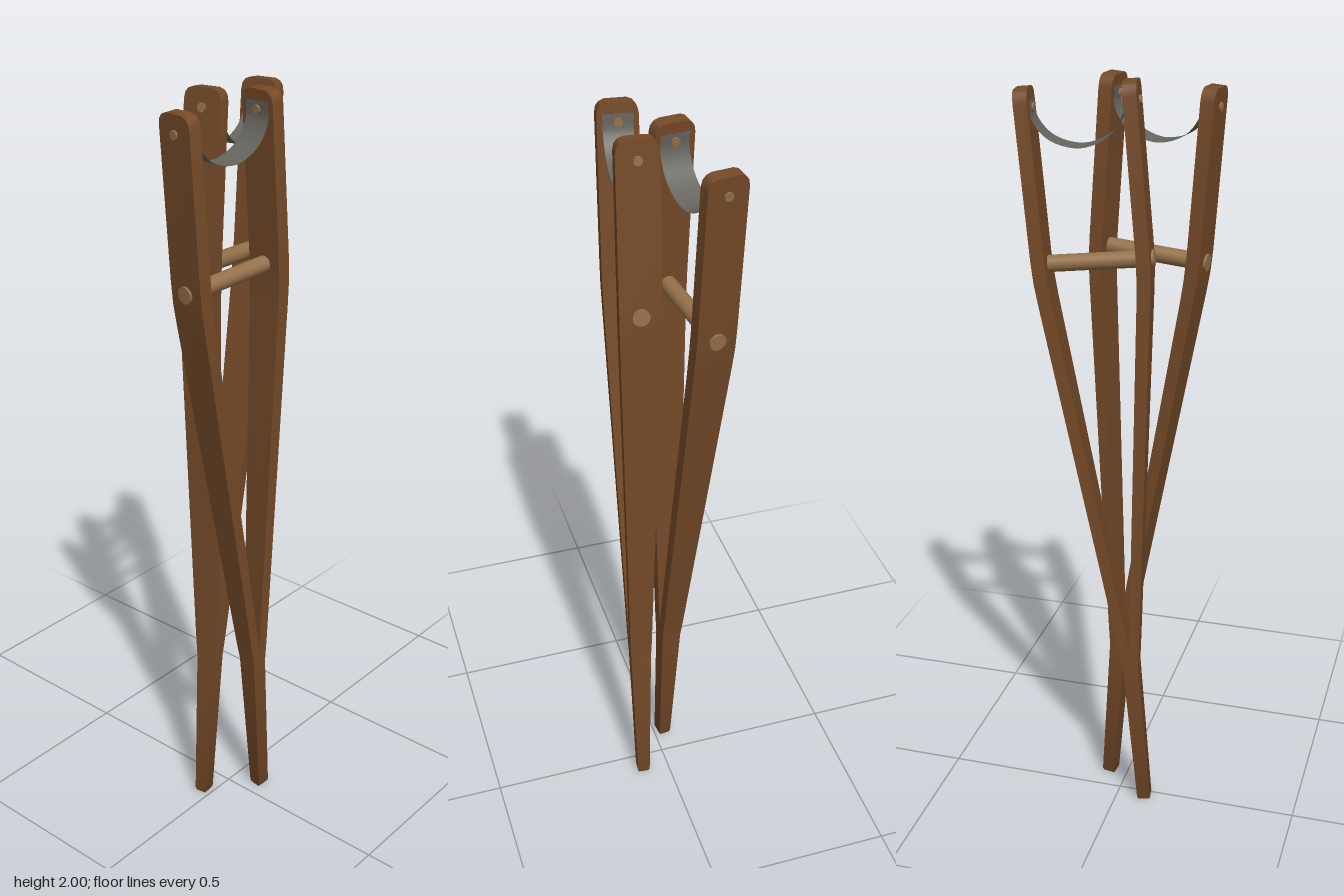
import * as THREE from 'three';
import { toCreasedNormals } from 'three/addons/utils/BufferGeometryUtils.js';

const wood = new THREE.MeshStandardMaterial({ color: 0x754a28 });
wood.name = 'brown wood';
const dowelWood = new THREE.MeshStandardMaterial({ color: 0x94704a });
dowelWood.name = 'pale dowel wood';
const strapCloth = new THREE.MeshStandardMaterial({ color: 0x66655f, side: THREE.DoubleSide });
strapCloth.name = 'grey strap';

function addMesh(parent, name, geometry, material) {
  const mesh = new THREE.Mesh(geometry, material);
  mesh.name = name;
  parent.add(mesh);
  return mesh;
}

// Rail cross-sections from foot to rounded top: height, inner x, outer x, half depth
const railRows = [
  [0, 0, 0.016, 0.014],
  [0.008, 0, 0.0185, 0.0175],
  [0.44, 0, 0.021, 0.028],
  [0.5, 0.001, 0.028, 0.03],
  [1.47, 0.104, 0.137, 0.05],
  [1.53, 0.109, 0.143, 0.051],
  [1.59, 0.111, 0.145, 0.051],
  [1.96, 0.111, 0.145, 0.05],
  [1.976, 0.111, 0.145, 0.047],
  [1.986, 0.111, 0.145, 0.039],
  [1.991, 0.111, 0.145, 0.026],
];

// Box whose rows of corners follow the cross-sections
function railGeometry(side) {
  const n = railRows.length - 1;
  const g = new THREE.BoxGeometry(1, 1, 1, 1, n, 1);
  const p = g.attributes.position;
  for (let i = 0; i < p.count; i++) {
    const [y, inner, outer, depth] = railRows[Math.round((p.getY(i) + 0.5) * n)];
    const isOuter = p.getX(i) * side > 0;
    p.setXYZ(i, side * (isOuter ? outer : inner), y, 2 * p.getZ(i) * depth);
  }
  return toCreasedNormals(g, 0.5);
}

// Sagging band with a short upright flap at each end
function strapGeometry() {
  const curve = new THREE.CatmullRomCurve3([
    [-0.109, 1.965], [-0.107, 1.92], [-0.072, 1.872], [0, 1.848],
    [0.072, 1.872], [0.107, 1.92], [0.109, 1.965],
  ].map(([x, y]) => new THREE.Vector3(x, y, 0)));
  const g = new THREE.PlaneGeometry(1, 0.073, 32, 1);
  const p = g.attributes.position;
  for (let i = 0; i < p.count; i++) {
    const c = curve.getPoint(p.getX(i) + 0.5);
    p.setXYZ(i, c.x, c.y, -p.getY(i));
  }
  g.computeVertexNormals();
  return g;
}

function createCrutch(name, foot, top, yawSlope) {
  const crutch = new THREE.Group();
  crutch.name = name;

  for (const side of [-1, 1]) {
    const label = side > 0 ? 'left' : 'right';
    addMesh(crutch, label + 'Rail', railGeometry(side), wood);
    // Peg holding the strap end
    const peg = addMesh(crutch, label + 'StrapPeg', new THREE.CylinderGeometry(0.011, 0.011, 0.046, 16), dowelWood);
    peg.rotation.z = Math.PI / 2;
    peg.position.set(side * 0.127, 1.945, 0);
  }

  // Hand grip passing through both rails
  const grip = addMesh(crutch, 'handGrip', new THREE.CylinderGeometry(0.021, 0.021, 0.302, 24), dowelWood);
  grip.rotation.z = Math.PI / 2;
  grip.position.y = 1.568;

  addMesh(crutch, 'underarmStrap', strapGeometry(), strapCloth);

  // Lean from foot to top, with a slight turn
  const up = top.clone().sub(foot).normalize();
  const z = new THREE.Vector3(1, 0, yawSlope).cross(up).normalize();
  const x = up.clone().cross(z);
  crutch.quaternion.setFromRotationMatrix(new THREE.Matrix4().makeBasis(x, up, z));
  crutch.position.copy(foot);
  return crutch;
}

export function createModel() {
  const model = new THREE.Group();
  model.name = 'crossedCrutches';
  model.add(
    createCrutch('frontCrutch', new THREE.Vector3(0.05, 0.001, 0.075), new THREE.Vector3(-0.092, 2, 0.056), 0.11),
    createCrutch('backCrutch', new THREE.Vector3(-0.079, 0.001, -0.026), new THREE.Vector3(0.092, 2, -0.055), -0.15),
  );
  return model;
}
